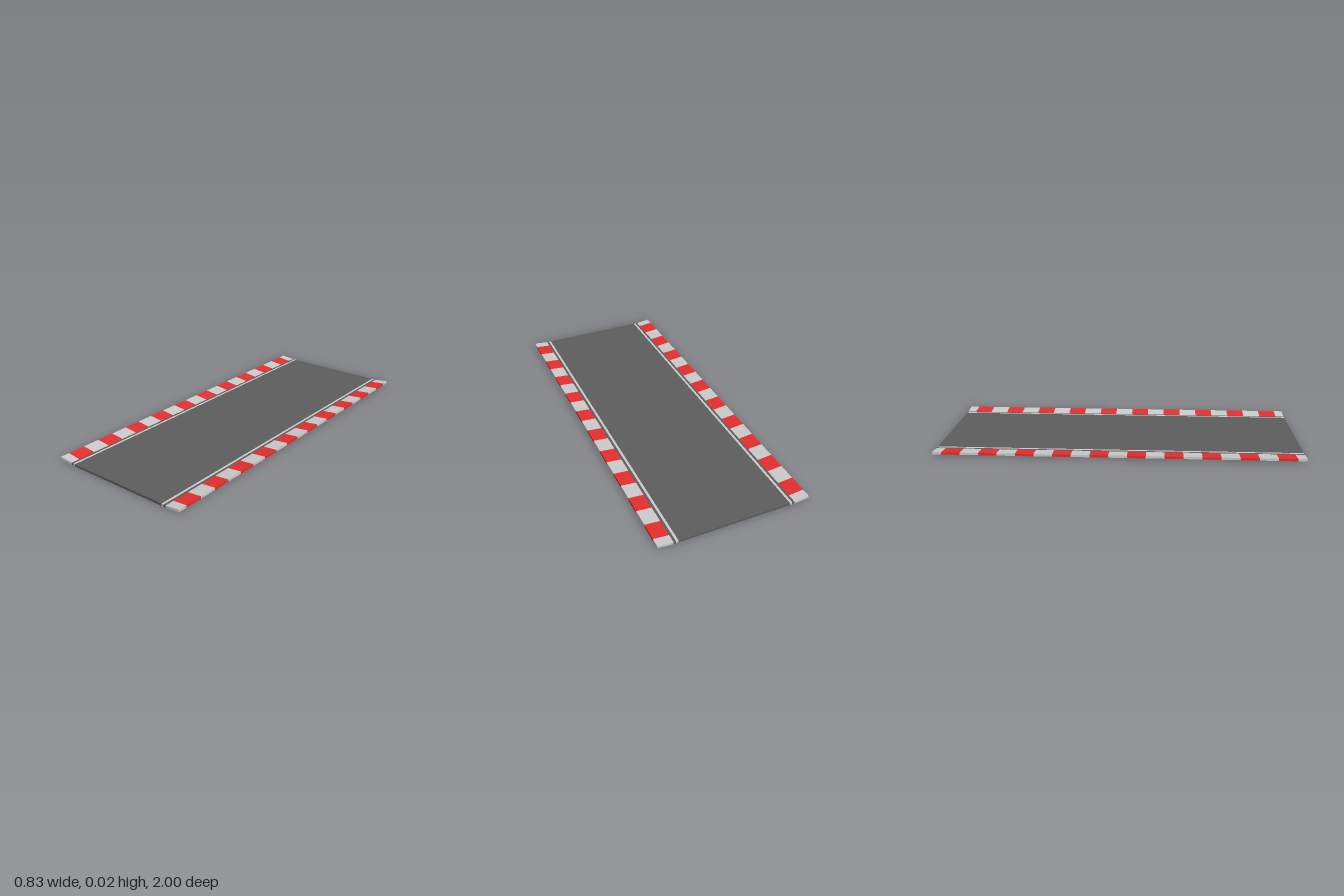
import * as THREE from 'three';

const material = (color) => new THREE.MeshStandardMaterial({ color, flatShading: true });
const asphalt = material(0x5e5e5e);
const grey = material(0xcccccc);
const red = material(0xe62e2e);

const THICK = 0.013;
const ROAD = 0.306;   // half width of the driving surface
const LINE = 0.319;   // outer edge of the painted line
const EDGE = 0.332;   // outer edge of the asphalt
const CURB = 0.415;   // outer edge of the curb
const RISE = 0.008;   // how far the curb climbs outwards

// Slab between two x positions, from z0 to z1, with its outer side raised
function slab(name, mat, x0, x1, z0, z1, rise = 0) {
  const shape = new THREE.Shape([
    new THREE.Vector2(x0, 0),
    new THREE.Vector2(x1, rise),
    new THREE.Vector2(x1, THICK + rise),
    new THREE.Vector2(x0, THICK),
  ]);
  const geometry = new THREE.ExtrudeGeometry(shape, { depth: z1 - z0, bevelEnabled: false });
  geometry.translate(0, 0, z0);
  const mesh = new THREE.Mesh(geometry, mat);
  mesh.name = name;
  return mesh;
}

// Line, shoulder and striped curb of one side
function createSide(name) {
  const side = new THREE.Group();
  side.name = name;
  side.add(slab('edgeLine', grey, ROAD, LINE, -1, 1));
  side.add(slab('shoulder', asphalt, LINE, EDGE, -1, 1));

  const curb = new THREE.Group();
  curb.name = 'curb';
  // Alternating blocks, with a half block at each end
  for (let i = 0; i <= 20; i++) {
    const z0 = Math.max(-1, -1.05 + i * 0.1);
    const z1 = Math.min(1, -0.95 + i * 0.1);
    const isRed = i % 2 === 1;
    curb.add(slab(isRed ? 'redCurbBlock' : 'greyCurbBlock', isRed ? red : grey, EDGE, CURB, z0, z1, RISE));
  }
  side.add(curb);
  return side;
}

export function createModel() {
  const model = new THREE.Group();
  model.name = 'raceTrackStraight';
  model.add(slab('roadSurface', asphalt, -ROAD, ROAD, -1, 1));

  // The track is symmetrical end to end, so a half turn gives the other side
  const left = createSide('leftSide');
  const right = createSide('rightSide');
  right.rotation.y = Math.PI;
  model.add(left, right);
  return model;
}
